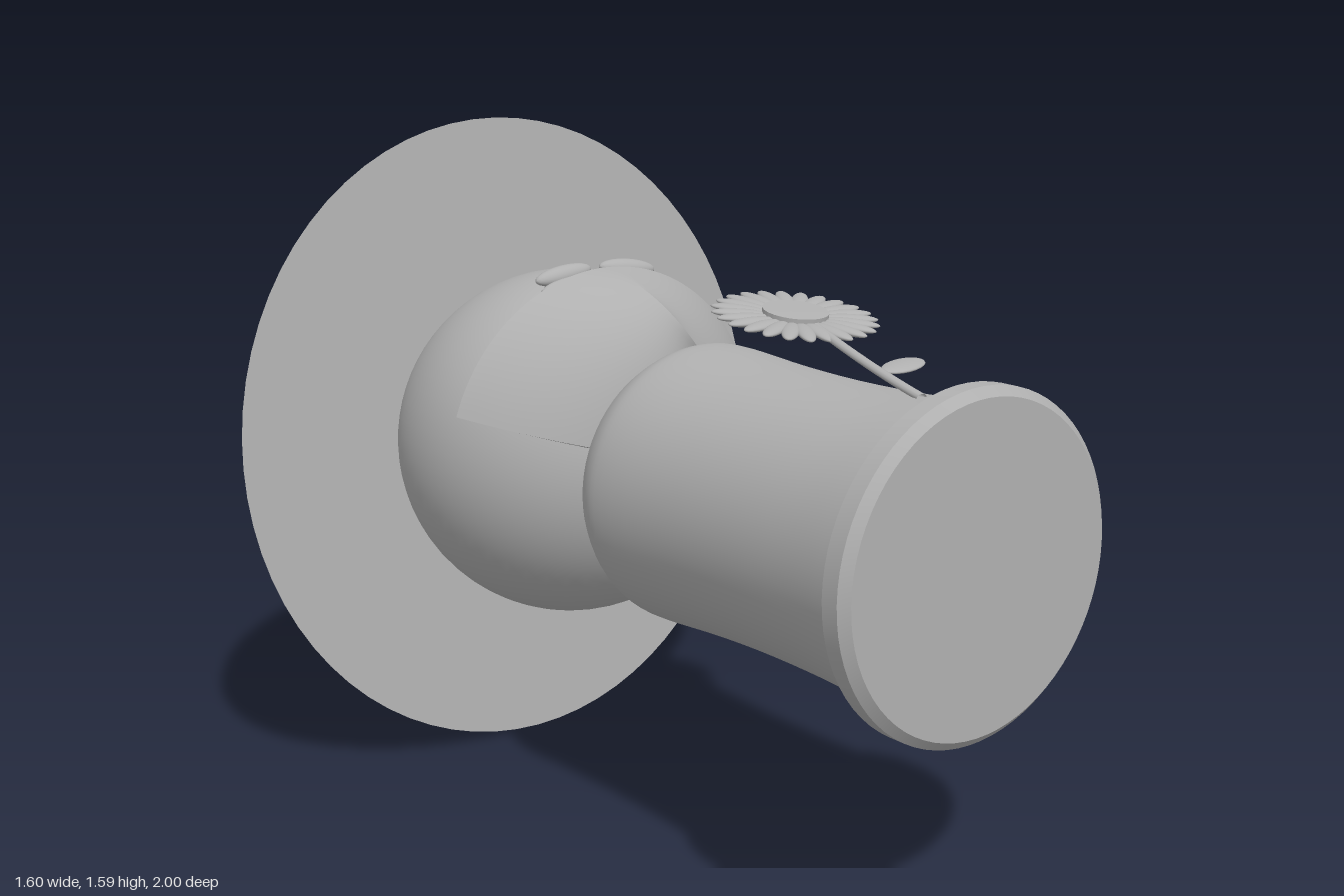
import * as THREE from 'three';
import { toCreasedNormals } from 'three/addons/utils/BufferGeometryUtils.js';

const AXIS_Y = 0.81; // height of the lying doll's axis

export function createModel() {
  const root = new THREE.Group();
  root.name = 'lyingDoll';
  const grey = new THREE.MeshStandardMaterial({ color: 0xb0b0b0, side: THREE.DoubleSide });
  grey.name = 'plain grey';

  const add = (parent, name, geometry, x = 0, y = 0, z = 0) => {
    const mesh = new THREE.Mesh(geometry, grey);
    mesh.name = name;
    mesh.position.set(x, y, z);
    parent.add(mesh);
    return mesh;
  };
  const lathe = (pts, crease = 0.5) => toCreasedNormals(
    new THREE.LatheGeometry(pts.map(([r, h]) => new THREE.Vector2(r, h)), 72), crease);
  const ellipsoid = (a, b, c) => new THREE.SphereGeometry(1, 20, 14).scale(a, b, c);

  // Body and head, built upright and then laid on the back
  const doll = new THREE.Group();
  doll.name = 'doll';
  doll.position.set(0, AXIS_Y, 1);
  doll.rotation.x = -Math.PI / 2;
  root.add(doll);

  const waist = new THREE.SplineCurve([
    [0.328, 0.095], [0.315, 0.25], [0.31, 0.45], [0.314, 0.65], [0.325, 0.84], [0.32, 0.9], [0.295, 0.95],
  ].map(([r, h]) => new THREE.Vector2(r, h))).getPoints(24).map((p) => [p.x, p.y]);
  add(doll, 'body', lathe([...waist, [0.2, 0.998], [0, 1]], 0.35));
  add(doll, 'base', lathe([[0, 0], [0.35, 0], [0.37, 0.018], [0.37, 0.06], [0.335, 0.092], [0.3, 0.095]], 0.4));
  add(doll, 'head', new THREE.SphereGeometry(0.43, 64, 40), 0, 1.425, 0);

  // Pointed beak, swept from an arc on the head to a ridge above the body
  add(root, 'beak', beakGeometry());

  // Closed eyes: two slim lobes each
  for (const side of [-1, 1]) {
    const eye = new THREE.Group();
    eye.name = side > 0 ? 'leftEye' : 'rightEye';
    eye.position.set(side * 0.092, 1.238, -0.296);
    eye.rotation.set(0.75, -side * 0.14, -side * 0.16, 'YXZ');
    add(eye, 'upperLid', ellipsoid(0.082, 0.02, 0.024), 0, 0, -0.017);
    add(eye, 'lowerLid', ellipsoid(0.086, 0.02, 0.022), 0, 0, 0.017);
    root.add(eye);
  }

  // Hat, tipped on the head
  const hat = new THREE.Group();
  hat.name = 'hat';
  hat.position.set(0, 0.795, -0.67);
  hat.quaternion.setFromUnitVectors(new THREE.Vector3(0, 1, 0),
    new THREE.Vector3(-0.0625, -0.12, -1).normalize());
  add(hat, 'brim', lathe([[0, 0], [0.8, 0], [0.775, 0.04], [0, 0.04]]));
  add(hat, 'hatBand', lathe([[0.36, 0.03], [0.4, 0.03], [0.395, 0.07], [0.36, 0.072]]));
  add(hat, 'crown', lathe([[0.385, 0.03], [0.345, 0.288], [0, 0.288]]));
  root.add(hat);

  // Flower, resting at a slope over the body
  const flower = new THREE.Group();
  flower.name = 'flower';
  flower.position.set(0, 1.13, 0.82);
  flower.rotation.x = 0.145;
  root.add(flower);

  const stemCurve = new THREE.QuadraticBezierCurve3(
    new THREE.Vector3(-0.005, 0, 0), new THREE.Vector3(0.03, 0, -0.2), new THREE.Vector3(0.115, 0, -0.46));
  add(flower, 'stem', new THREE.TubeGeometry(stemCurve, 20, 0.012, 10).scale(1, 0.7, 1));
  add(flower, 'leaf', ellipsoid(0.072, 0.008, 0.032), 0.107, 0, -0.172).rotation.y = 0.25;

  const bloom = new THREE.Group();
  bloom.name = 'bloom';
  bloom.position.set(0.125, 0, -0.542);
  flower.add(bloom);
  const petal = ellipsoid(0.065, 0.009, 0.02).translate(0.126, 0, 0);
  const petals = 24;
  for (let i = 0; i < petals; i++) {
    add(bloom, 'petal', petal).rotation.y = (i / petals) * Math.PI * 2;
  }
  add(bloom, 'flowerCentre', lathe([[0, -0.012], [0.075, -0.012], [0.075, 0.014], [0, 0.016]]));
  return root;
}

// Rows run from the arc to the ridge; the outer row and columns close it onto the axis
function beakGeometry() {
  const rows = 16, cols = 48, start = 0.325, rim = 0.455, back = -0.26;
  const point = (i, j) => {
    const u = j / cols, a = start + u * (Math.PI - 2 * start);
    const t = 1 - Math.abs(2 * u - 1), s = i / rows;
    const from = new THREE.Vector3(rim * Math.cos(a), AXIS_Y + rim * Math.sin(a), back);
    const to = new THREE.Vector3(0, 0.845 + 0.28 * t, 0.025 + 0.065 * t);
    const bend = from.clone().lerp(to, 0.5)
      .add(new THREE.Vector3(0.05 * Math.cos(a), 0.04 * t, 0.11 - 0.08 * t));
    return new THREE.QuadraticBezierCurve3(from, bend, to).getPoint(s);
  };
  const positions = [], index = [], width = cols + 3;
  for (let i = -1; i <= rows; i++) {
    for (let j = -1; j <= cols + 1; j++) {
      const p = point(Math.max(i, 0), Math.min(Math.max(j, 0), cols));
      if (i < 0 || j < 0 || j > cols) p.set(0, AXIS_Y, Math.min(p.z, 0));
      positions.push(p.x, p.y, p.z);
    }
  }
  for (let i = 0; i <= rows; i++) {
    for (let j = 0; j < width - 1; j++) {
      const a = i * width + j, b = a + width;
      index.push(a, a + 1, b, a + 1, b + 1, b);
    }
  }
  const geometry = new THREE.BufferGeometry();
  geometry.setAttribute('position', new THREE.Float32BufferAttribute(positions, 3));
  geometry.setIndex(index.reverse());
  return toCreasedNormals(geometry, 0.6);
}
